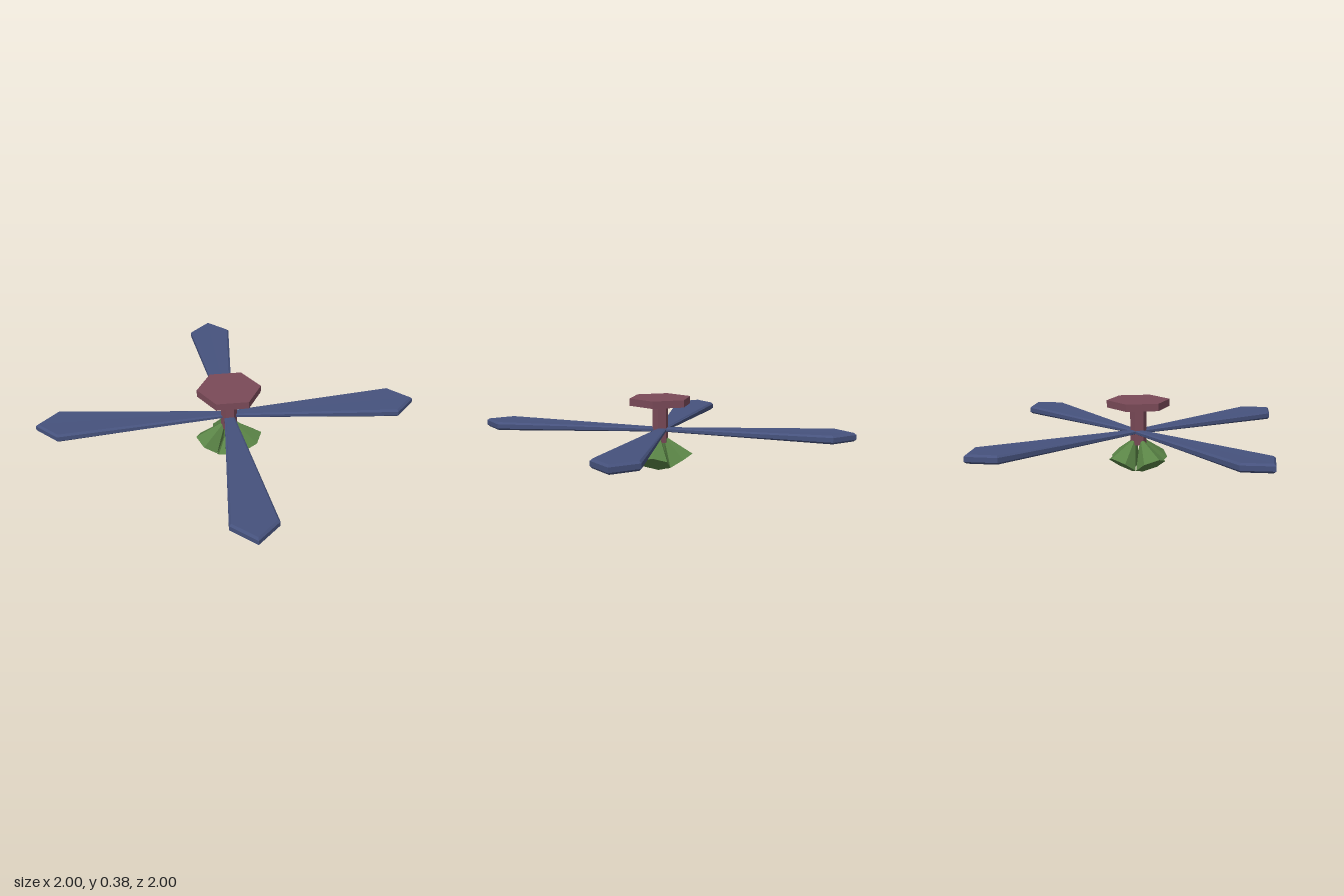
import * as THREE from 'three';

const mat = (color) => new THREE.MeshStandardMaterial({ color, flatShading: true });
const HUB_Z = 0.014; // mount, rod and lamps sit slightly forward of the blades

// Flat-topped blade along +x: pointed tip, bevelled rim, thinner at the root
function bladeGeometry() {
  const bevel = 0.01, depth = 0.024;
  const shape = new THREE.Shape();
  shape.moveTo(0.0, -0.012);
  shape.lineTo(0.886, -0.105);
  shape.lineTo(0.987, 0);
  shape.lineTo(0.886, 0.105);
  shape.lineTo(0.0, 0.012);
  shape.closePath();
  const geo = new THREE.ExtrudeGeometry(shape, {
    depth, bevelEnabled: true, bevelSegments: 1, bevelSize: bevel, bevelThickness: bevel,
  });
  geo.translate(0, 0, -depth / 2);
  geo.rotateX(-Math.PI / 2);
  const p = geo.attributes.position;
  for (let i = 0; i < p.count; i++) {
    const t = THREE.MathUtils.clamp(p.getX(i) / 0.9, 0, 1);
    p.setY(i, p.getY(i) * (0.45 + 0.55 * t));
  }
  geo.computeVertexNormals();
  return geo;
}

// Six-sided lamp shade, apex near the rod, mouth tilted outward and down along +x
function shadeGeometry() {
  const height = 0.14;
  const geo = new THREE.CylinderGeometry(0.012, 0.082, height, 6);
  geo.rotateY(Math.PI / 2); // a corner of the mouth points outward
  geo.translate(0, height / 2, 0);
  geo.rotateZ(0.575);
  geo.translate(0.107, 0.056, 0);
  return geo;
}

export function createModel() {
  const group = new THREE.Group();
  const add = (name, geo, material, y, z = 0, turn = 0) => {
    const mesh = new THREE.Mesh(geo, material);
    mesh.name = name;
    mesh.position.set(0, y, z);
    mesh.rotation.y = turn;
    group.add(mesh);
  };
  const red = mat(0x7a4a58), blue = mat(0x46527d), green = mat(0x5a8446);

  // Hexagonal ceiling mount and rod, corners on the x axis
  add('ceilingMount', new THREE.CylinderGeometry(0.167, 0.167, 0.038, 6), red, 0.376, HUB_Z, Math.PI / 2);
  add('rod', new THREE.CylinderGeometry(0.043, 0.043, 0.21, 6), red, 0.26, HUB_Z, Math.PI / 2);

  // Four blades and four lamp shades
  const blade = bladeGeometry(), shade = shadeGeometry();
  for (let i = 0; i < 4; i++) {
    const turn = (i * Math.PI) / 2;
    add('blade' + (i + 1), blade, blue, 0.224, 0, turn);
    add('lampShade' + (i + 1), shade, green, 0, HUB_Z, turn);
  }
  return group;
}
